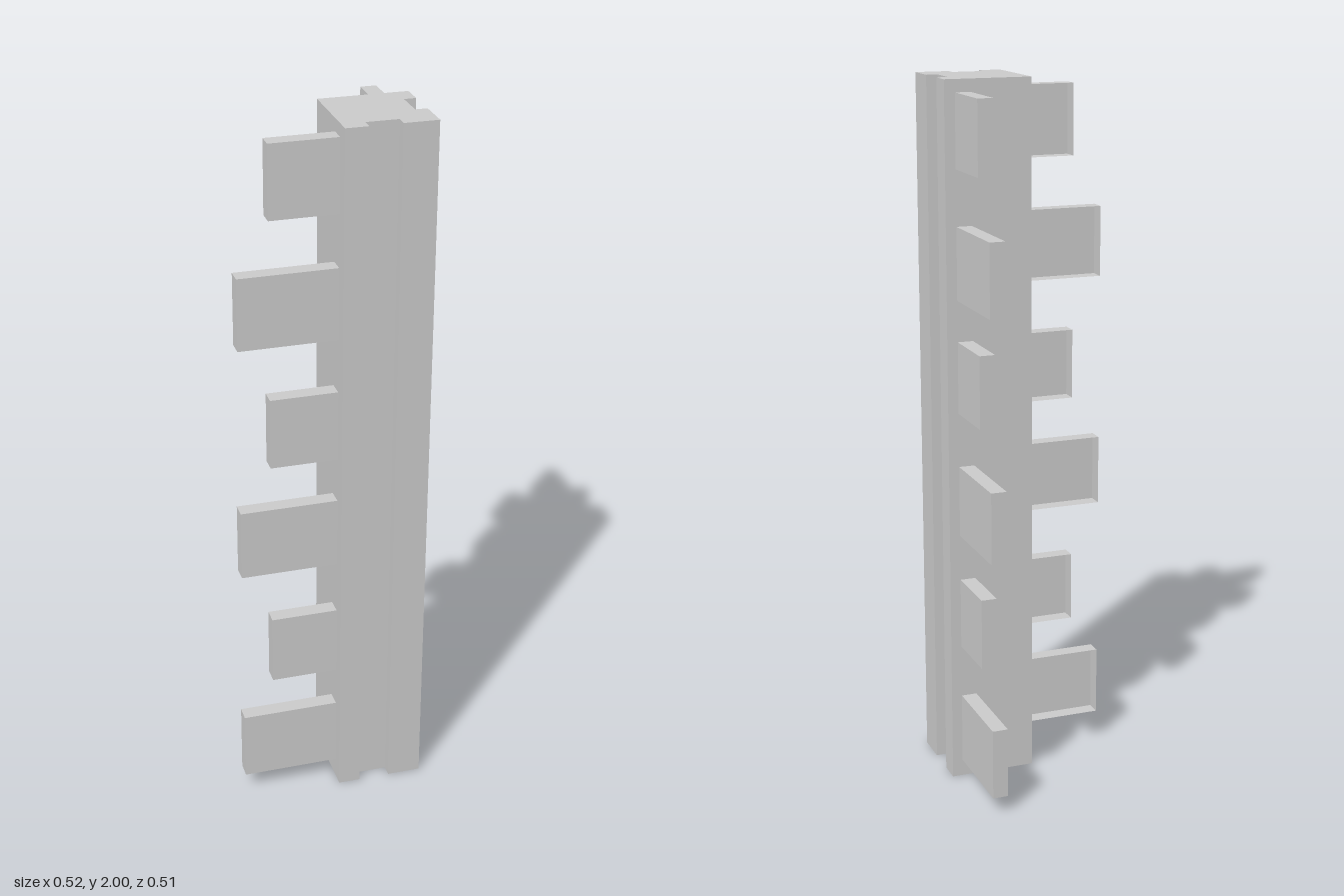
import * as THREE from 'three';

const material = new THREE.MeshStandardMaterial({ color: 0xcccccc, flatShading: true });
const sheet = new THREE.MeshStandardMaterial({ color: 0xcccccc, flatShading: true, side: THREE.DoubleSide });

// Box between two corners, without the listed sides (0..5 = +x -x +y -y +z -z)
function openBox(min, max, openSides) {
  const size = max.map((v, i) => v - min[i]);
  const geometry = new THREE.BoxGeometry(...size);
  const index = Array.from(geometry.index.array);
  geometry.setIndex(index.filter((_, i) => !openSides.includes(Math.floor(i / 6))));
  geometry.clearGroups();
  geometry.translate(...min.map((v, i) => v + size[i] / 2));
  return geometry;
}

export function createModel() {
  const model = new THREE.Group();
  const add = (name, geometry, mat) => {
    const mesh = new THREE.Mesh(geometry, mat);
    mesh.name = name;
    model.add(mesh);
  };

  // Corner post with one groove in each outer face; outline in x, z
  const outline = [
    [0.012, 0.007], [0.258, 0.007], [0.258, 0.07], [0.225, 0.07],
    [0.225, 0.159], [0.258, 0.159], [0.258, 0.255], [0.163, 0.255],
    [0.163, 0.222], [0.074, 0.222], [0.074, 0.255], [0.012, 0.255],
  ];
  const shape = new THREE.Shape(outline.map(([x, z]) => new THREE.Vector2(x, -z)));
  const post = new THREE.ExtrudeGeometry(shape, { depth: 2, bevelEnabled: false });
  post.rotateX(-Math.PI / 2);
  add('cornerPost', post, material);

  // Hollow tabs, alternately long and short, open towards the inner corner
  const height = 0.202;
  [0.057, 0.375, 0.73, 1.06, 1.414, 1.763].forEach((y, i) => {
    const end = i % 2 ? -0.175 : -0.26;
    add('rightTab', openBox([end, y, 0.169], [0.012, y + height, 0.214], [0, 5]), sheet);
  });
  [0.048, 0.402, 0.735, 1.09, 1.407, 1.763].forEach((y, i) => {
    const end = i % 2 ? -0.172 : -0.257;
    add('backTab', openBox([0.184, y, end], [0.228, y + height, 0.007], [1, 4]), sheet);
  });

  return model;
}
